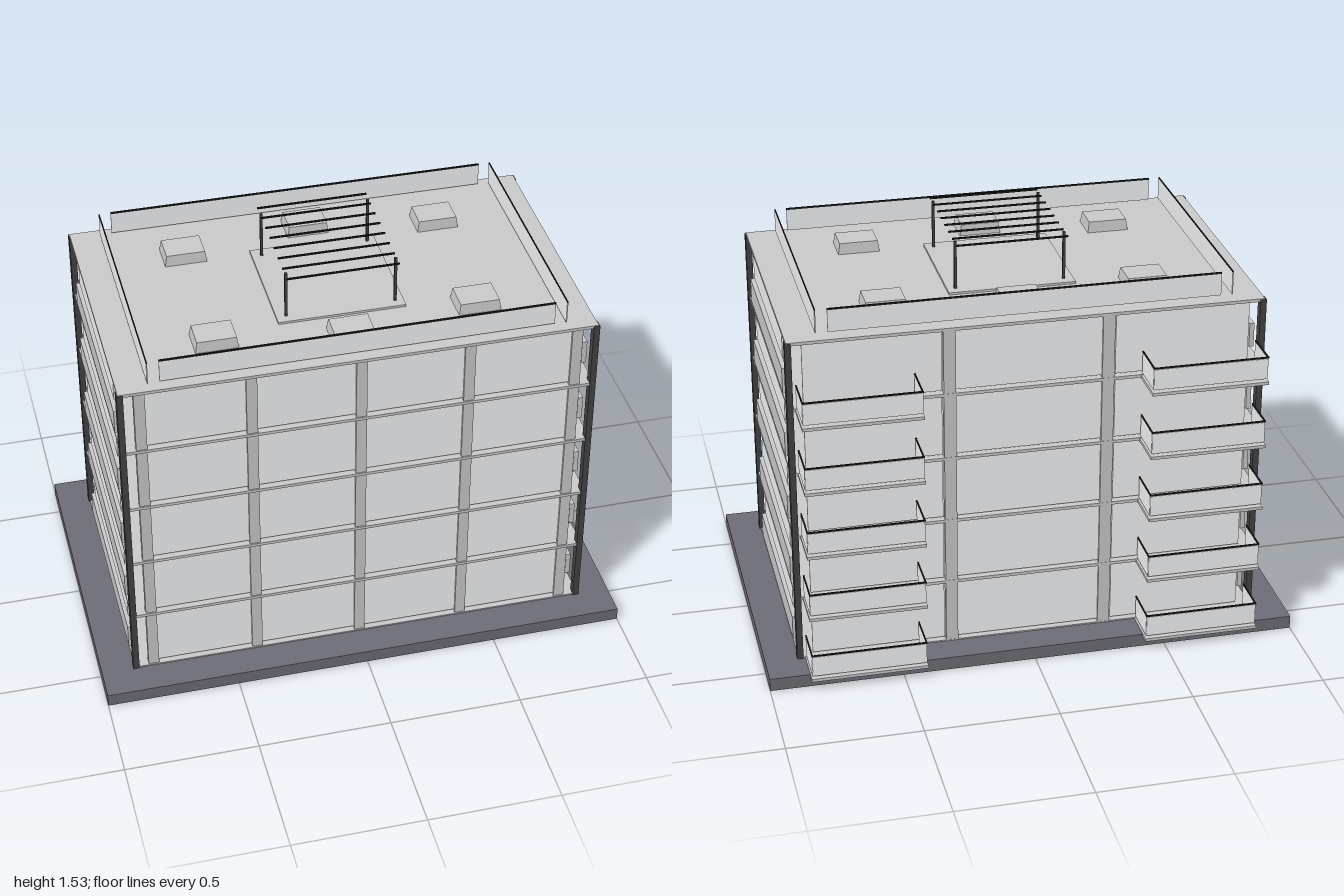
import * as THREE from 'three';

const mat = (color, side = THREE.FrontSide) =>
  new THREE.MeshStandardMaterial({ color, side });

export function createModel() {
  const model = new THREE.Group();
  const grey = mat(0xcccccc), dark = mat(0x444444), black = mat(0x1c1c1c);
  const ground = mat(0x6e6e78), glass = mat(0xf4f6f8, THREE.DoubleSide);

  // Box given by its extents on each axis
  function box(name, [x0, x1], [y0, y1], [z0, z1], material, parent = model) {
    const mesh = new THREE.Mesh(new THREE.BoxGeometry(x1 - x0, y1 - y0, z1 - z0), material);
    mesh.name = name;
    mesh.position.set((x0 + x1) / 2, (y0 + y1) / 2, (z0 + z1) / 2);
    parent.add(mesh);
    return mesh;
  }
  // Extent around a centre
  const around = (c, size) => [c - size / 2, c + size / 2];
  // Extent mirrored to the given side of x = 0
  const mirror = (s, a, b) => (s > 0 ? [a, b] : [-b, -a]);

  const floors = 5, rise = 0.2565, firstTop = 0.055, slab = 0.012;
  const frontZ = 0.52, backZ = -0.49;

  box('plinth', [-1, 1], [0, 0.05], [-0.62, 0.66], ground);

  // Floor slabs, roof slab and ceiling
  for (let i = 0; i <= floors; i++) {
    const top = firstTop + i * rise;
    box(i === floors ? 'roofSlab' : 'floorSlab', [-0.875, 0.875], [top - slab, top], [-0.503, 0.537], grey);
  }
  box('ceiling', [-0.76, 0.76], [1.31, 1.326], [-0.46, 0.5], grey);

  // Corner columns
  for (const s of [-1, 1])
    for (const z of [frontZ + 0.005, backZ])
      box('cornerColumn', mirror(s, 0.857, 0.88), [0.05, 1.335], around(z, 0.031), dark);

  // One storey of walls and balconies
  for (let i = 0; i < floors; i++) {
    const y = firstTop + i * rise;
    const storey = new THREE.Group();
    storey.name = 'storey';
    model.add(storey);
    const wallY = [y + 0.01, y + rise - slab];
    const pierY = [y, y + rise - slab];

    // Front: four wide panes between piers
    for (let k = 0; k < 4; k++)
      box('frontPane', around(-0.6 + k * 0.4, 0.37), wallY, around(frontZ, 0.006), glass, storey);
    for (let k = 0; k < 5; k++)
      box('frontPier', around(-0.8 + k * 0.4, 0.04), pierY, around(frontZ, 0.024), grey, storey);

    // Back: centre pane and two balcony panes
    box('backPane', [-0.27, 0.27], wallY, around(backZ, 0.006), glass, storey);
    for (const s of [-1, 1]) {
      box('balconyPane', mirror(s, 0.32, 0.82), wallY, around(backZ, 0.006), glass, storey);
      box('backPier', mirror(s, 0.27, 0.315), pierY, around(backZ, 0.024), grey, storey);

      // Sides: solid band below, window strip above
      box('sideBand', mirror(s, 0.86, 0.878), [y + 0.014, y + 0.108], [-0.39, 0.43], grey, storey);
      box('sideWindow', mirror(s, 0.862, 0.868), [y + 0.13, y + 0.243], [-0.35, 0.39], glass, storey);

      // Balcony with glass rail
      const balcony = new THREE.Group();
      balcony.name = 'balcony';
      storey.add(balcony);
      box('balconyFloor', mirror(s, 0.415, 0.85), [y - 0.014, y - 0.002], [-0.66, -0.5], grey, balcony);
      const railY = [y + 0.008, y + 0.088], capY = [y + 0.09, y + 0.095];
      box('balconyFrontGlass', mirror(s, 0.42, 0.845), railY, around(-0.653, 0.003), glass, balcony);
      box('balconyHandrail', mirror(s, 0.417, 0.848), capY, around(-0.653, 0.006), black, balcony);
      for (const x of [0.42, 0.845]) {
        box('balconySideGlass', around(s * x, 0.003), railY, [-0.651, -0.505], glass, balcony);
        box('balconySideHandrail', around(s * x, 0.005), capY, [-0.65, -0.505], black, balcony);
      }
    }
  }

  // Roof parapet, open at the corners
  for (const z of [-0.46, 0.5]) {
    box('parapetGlass', [-0.72, 0.72], [1.348, 1.432], around(z, 0.004), glass);
    box('parapetRail', [-0.72, 0.72], [1.432, 1.438], around(z, 0.006), black);
  }
  for (const s of [-1, 1]) {
    box('parapetSideGlass', around(s * 0.763, 0.004), [1.348, 1.432], [-0.46, 0.505], glass);
    box('parapetSideRail', around(s * 0.763, 0.004), [1.432, 1.437], [-0.46, 0.505], black);
  }

  // Roof planters with a slightly tapered top
  const planters = [[0, -0.34], [0, 0.38], [-0.485, -0.26], [0.485, -0.26], [-0.485, 0.3], [0.485, 0.3]];
  for (const [x, z] of planters) {
    const planter = box('roofPlanter', around(x, 0.158), [1.337, 1.38], around(z, 0.12), grey);
    const p = planter.geometry.attributes.position;
    for (let i = 0; i < p.count; i++)
      if (p.getY(i) > 0) p.setXYZ(i, p.getX(i) * 0.92, p.getY(i), p.getZ(i) * 0.92);
    planter.geometry.computeVertexNormals();
  }

  // Roof terrace with pergola
  const pergola = new THREE.Group();
  pergola.name = 'pergola';
  model.add(pergola);
  box('terracePad', [-0.24, 0.235], [1.337, 1.346], [-0.22, 0.258], grey, pergola);
  for (const x of [-0.203, 0.203])
    for (const z of [-0.18, 0.22])
      box('pergolaPost', around(x, 0.01), [1.345, 1.53], around(z, 0.01), dark, pergola);
  for (let k = 0; k < 8; k++)
    box('pergolaSlat', [-0.208, 0.208], [1.525, 1.531], around(-0.22 + k * 0.068, 0.006), black, pergola);

  return model;
}
